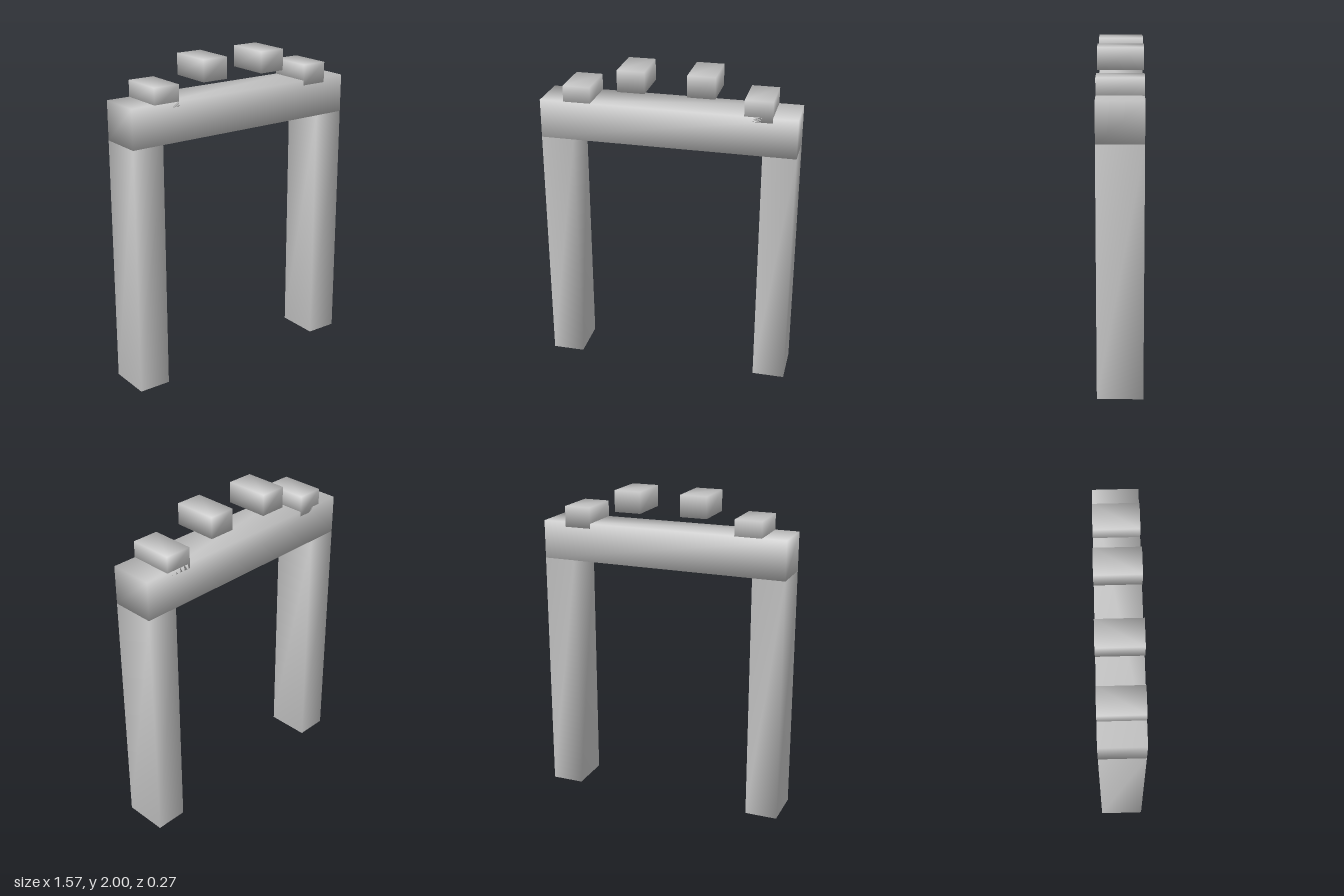
import * as THREE from 'three';
import { mergeVertices } from 'three/addons/utils/BufferGeometryUtils.js';

const DEPTH = 0.274;
const material = new THREE.MeshStandardMaterial({ color: 0xcccccc });

// Box from its x and y limits, with corners welded so the shading runs smoothly round them
function block(name, x0, x1, y0, y1) {
  let geometry = new THREE.BoxGeometry(x1 - x0, y1 - y0, DEPTH);
  geometry.deleteAttribute('normal');
  geometry.deleteAttribute('uv');
  geometry = mergeVertices(geometry);
  geometry.computeVertexNormals();
  const mesh = new THREE.Mesh(geometry, material);
  mesh.name = name;
  mesh.position.set((x0 + x1) / 2, (y0 + y1) / 2, 0);
  return mesh;
}

export function createModel() {
  const group = new THREE.Group();
  group.name = 'archway';

  // Lintel across the two posts
  group.add(block('lintel', -0.785, 0.785, 1.54, 1.78));

  // Mirrored posts and crown blocks: the outer ones sit in the lintel, the inner ones float
  for (const [side, s] of [['left', 1], ['right', -1]]) {
    const add = (name, inner, outer, y0, y1) =>
      group.add(block(side + name, Math.min(s * inner, s * outer), Math.max(s * inner, s * outer), y0, y1));
    add('Post', 0.583, 0.785, 0, 1.54);
    add('OuterCrownBlock', 0.468, 0.636, 1.75, 1.88);
    add('InnerCrownBlock', 0.128, 0.296, 1.868, 2);
  }
  return group;
}
